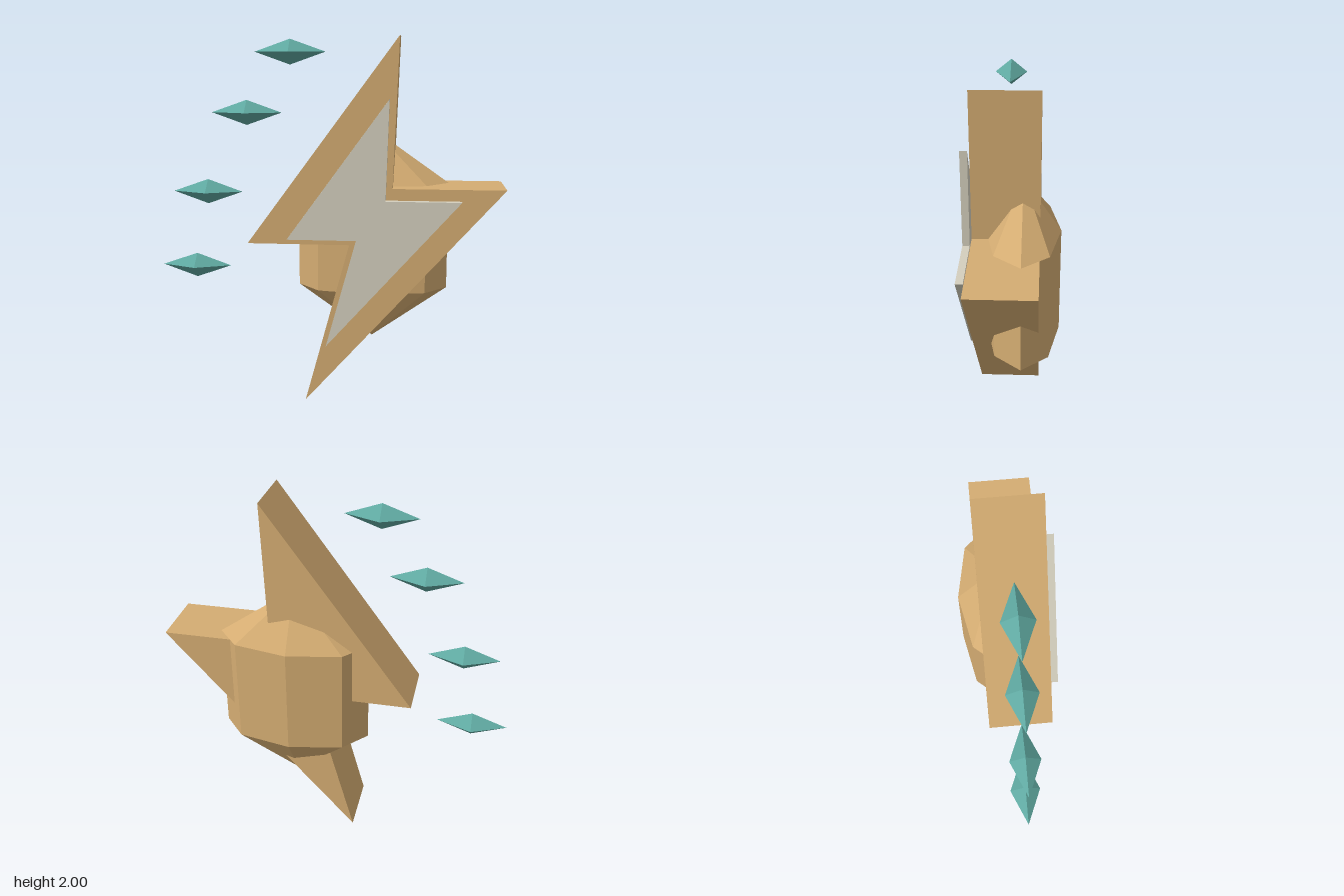
import * as THREE from 'three';

const flat = (name, color) => {
  const m = new THREE.MeshStandardMaterial({ color });
  m.name = name;
  m.flatShading = true;
  return m;
};

// Straight-sided slab cut from an outline, running from zBack to zFront
function slab(name, points, zBack, zFront, material) {
  const shape = new THREE.Shape(points.map(([x, y]) => new THREE.Vector2(x, y)));
  const geometry = new THREE.ExtrudeGeometry(shape, { depth: zFront - zBack, bevelEnabled: false });
  geometry.translate(0, 0, zBack);
  const mesh = new THREE.Mesh(geometry, material);
  mesh.name = name;
  return mesh;
}

export function createModel() {
  const gold = flat('gold', 0xd4ac72);
  const ivory = flat('ivory', 0xd4cfbd);
  const teal = flat('teal', 0x5fa8a0);

  const model = new THREE.Group();
  model.name = 'boltEmblem';

  // Lightning bolt
  model.add(slab('bolt', [
    [0.383, 2], [-0.43, 0.89], [0.125, 0.89], [-0.115, 0], [0.955, 1.2], [0.355, 1.2],
  ], -0.15, 0.203, gold));

  // Smaller bolt floating just in front
  model.add(slab('boltInlay', [
    [0.335, 1.675], [-0.208, 0.925], [0.165, 0.925], [0.003, 0.333], [0.72, 1.14], [0.32, 1.14],
  ], 0.217, 0.256, ivory));

  // Eight-sided flattened gem behind the bolt, pointed at both ends
  const profile = [[0, -0.595], [1, -0.3], [1, 0.3], [0, 0.595]].map(([r, y]) => new THREE.Vector2(r, y));
  const gem = new THREE.Mesh(new THREE.LatheGeometry(profile, 8), gold);
  gem.name = 'gem';
  gem.scale.set(0.42, 1, 0.2);
  gem.position.set(0.24, 0.9, -0.06);
  model.add(gem);

  // Arc of small diamond shards
  const shardGeometry = new THREE.OctahedronGeometry(1).scale(0.195, 0.069, 0.084);
  [[-0.215, 1.917], [-0.459, 1.588], [-0.686, 1.145], [-0.76, 0.718]].forEach(([x, y], i) => {
    const shard = new THREE.Mesh(shardGeometry, teal);
    shard.name = `shard${i + 1}`;
    shard.position.set(x, y, 0.02);
    model.add(shard);
  });

  return model;
}
